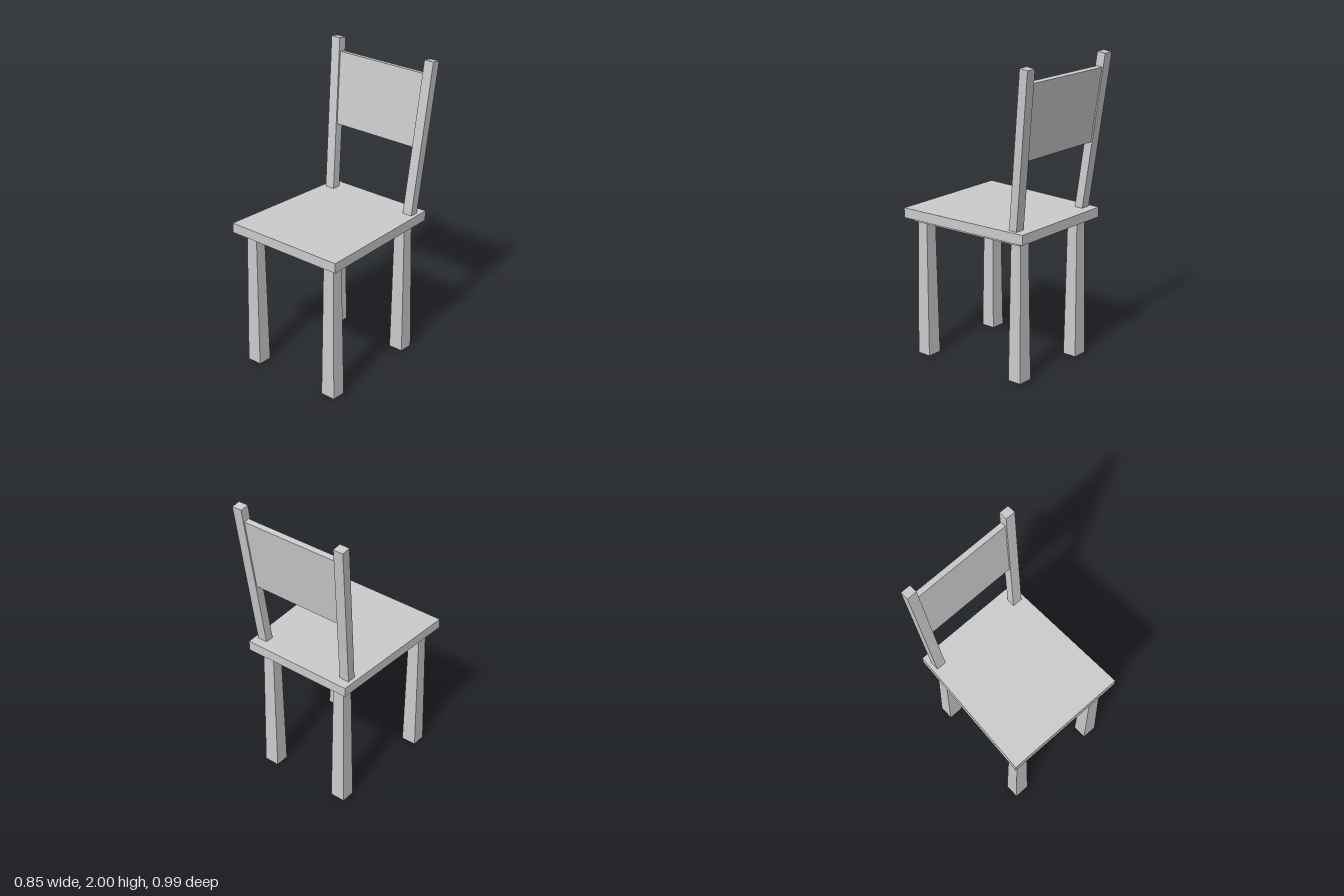
import * as THREE from 'three';

const material = new THREE.MeshStandardMaterial({ color: 0xcccccc, flatShading: true });

// Six-sided solid between two quads; corners run back-left, back-right, front-right, front-left
function hexa(name, bottom, top) {
  const p = [...bottom, ...top];
  const faces = [[0, 1, 2, 3], [7, 6, 5, 4], [3, 2, 6, 7], [1, 0, 4, 5], [2, 1, 5, 6], [0, 3, 7, 4]];
  const positions = [];
  for (const [a, b, c, d] of faces) {
    for (const i of [a, b, c, a, c, d]) positions.push(...p[i]);
  }
  const geometry = new THREE.BufferGeometry();
  geometry.setAttribute('position', new THREE.Float32BufferAttribute(positions, 3));
  geometry.computeVertexNormals();
  const mesh = new THREE.Mesh(geometry, material);
  mesh.name = name;
  return mesh;
}

// Level rectangle; yBack lets the rear edge sit at another height
const rect = (x0, x1, zBack, zFront, y, yBack = y) =>
  [[x0, yBack, zBack], [x1, yBack, zBack], [x1, y, zFront], [x0, y, zFront]];

// Level trapezoid, symmetric about x = 0
const trapezoid = (halfBack, halfFront, zBack, zFront, y) =>
  [[-halfBack, y, zBack], [halfBack, y, zBack], [halfFront, y, zFront], [-halfFront, y, zFront]];

export function createModel() {
  const chair = new THREE.Group();
  chair.name = 'chair';

  // Seat board, wider at the front, over a thinner plate
  chair.add(hexa('seat',
    trapezoid(0.382, 0.425, -0.44, 0.495, 0.93),
    trapezoid(0.382, 0.425, -0.44, 0.495, 0.995)));
  chair.add(hexa('seatUnderplate',
    trapezoid(0.342, 0.38, -0.387, 0.445, 0.905),
    trapezoid(0.342, 0.38, -0.387, 0.445, 0.93)));

  for (const [side, s] of [['left', 1], ['right', -1]]) {
    // Legs, thicker at the floor
    for (const [end, x, z] of [['Front', 0.32, 0.398], ['Back', 0.281, -0.338]]) {
      const cx = s * x;
      chair.add(hexa(side + end + 'Leg',
        rect(cx - 0.051, cx + 0.051, z - 0.048, z + 0.048, 0),
        rect(cx - 0.04, cx + 0.04, z - 0.037, z + 0.037, 0.905)));
    }

    // Back posts, leaning backwards and outwards
    const low = s * 0.326, high = s * 0.374;
    chair.add(hexa(side + 'BackPost',
      rect(low - 0.034, low + 0.034, -0.376, -0.318, 0.99),
      rect(high - 0.034, high + 0.034, -0.495, -0.436, 2, 1.992)));
  }

  // Back panel between the posts
  chair.add(hexa('backPanel',
    rect(-0.325, 0.325, -0.419, -0.38, 1.435, 1.43),
    rect(-0.347, 0.347, -0.476, -0.438, 1.91, 1.905)));

  return chair;
}
